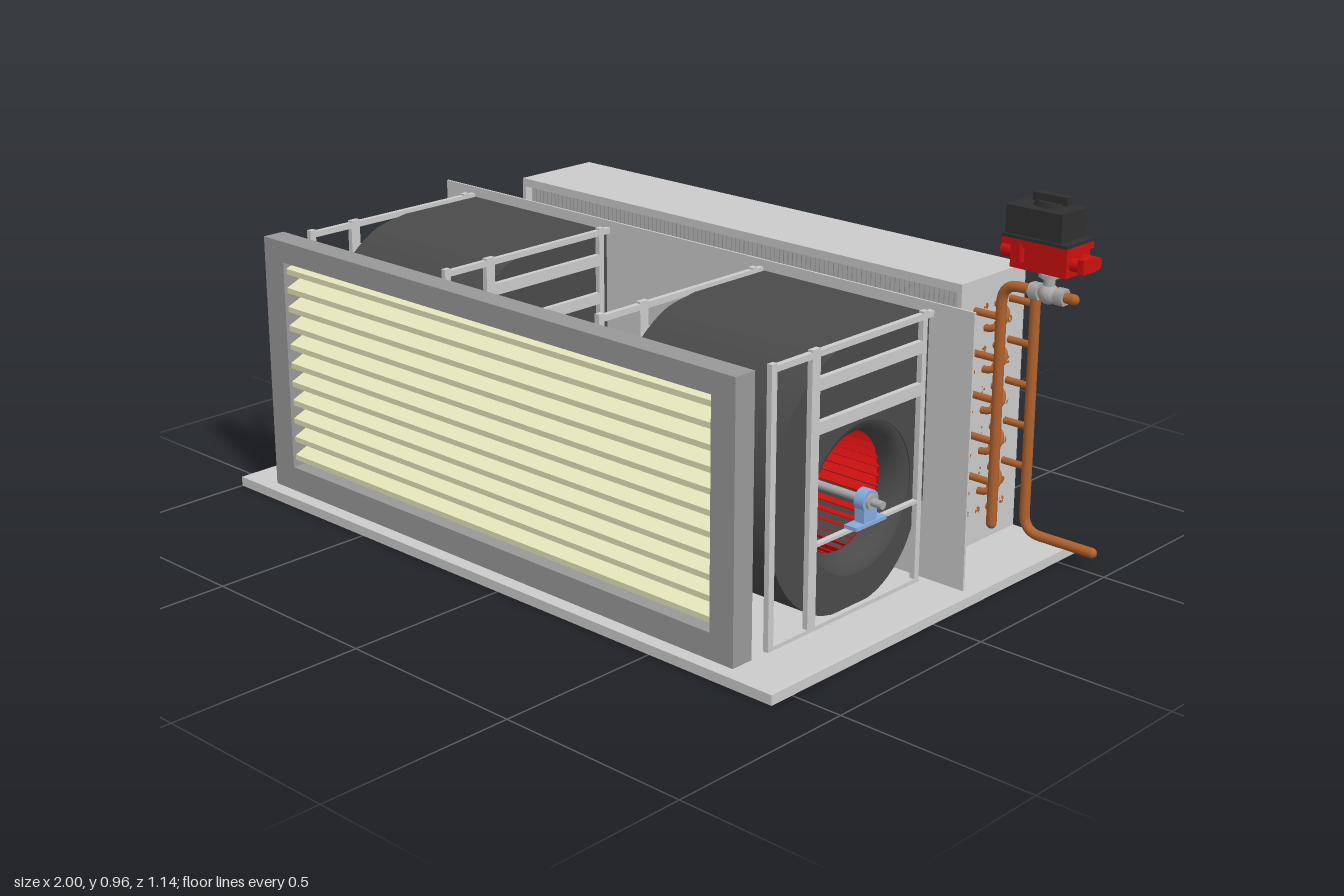
import * as THREE from 'three';
import { mergeGeometries } from 'three/addons/utils/BufferGeometryUtils.js';

const mat = (color, side = THREE.FrontSide) => new THREE.MeshStandardMaterial({ color, side });
const grey = mat(0xcccccc), frameGrey = mat(0x999999), dark = mat(0x4a4a4a, THREE.DoubleSide);
const black = mat(0x303030), red = mat(0xcc1010), copper = mat(0xb0622d), blue = mat(0x86ace0);
const cream = mat(0xe6e6bc, THREE.DoubleSide), steel = mat(0xaaaaaa);

const V = (x, y, z) => new THREE.Vector3(x, y, z);
const AXIS_Y = 0.295, AXIS_Z = 0.085;

function add(parent, name, geometry, material, x = 0, y = 0, z = 0) {
  const mesh = new THREE.Mesh(geometry, material);
  mesh.name = name;
  mesh.position.set(x, y, z);
  parent.add(mesh);
  return mesh;
}
// Box given by its extents on each axis
function boxGeo(x0, x1, y0, y1, z0, z1) {
  return new THREE.BoxGeometry(x1 - x0, y1 - y0, z1 - z0).translate((x0 + x1) / 2, (y0 + y1) / 2, (z0 + z1) / 2);
}
const box = (parent, name, material, ...e) => add(parent, name, boxGeo(...e), material);
// Cylinder lying along x
const xCyl = (r, len, x = 0, y = 0, z = 0, r2 = r, n = 32) =>
  new THREE.CylinderGeometry(r2, r, len, n).rotateZ(-Math.PI / 2).translate(x, y, z);
const rect = (C, x0, x1, y0, y1) => {
  const s = new C();
  s.moveTo(x0, y0).lineTo(x1, y0).lineTo(x1, y1).lineTo(x0, y1).closePath();
  return s;
};
const flat = (shape, depth) => new THREE.ExtrudeGeometry(shape, { depth, bevelEnabled: false, curveSegments: 32 });

// Pipe with one rounded elbow
function elbowPipe(a, corner, b, r) {
  const p = corner.clone().lerp(a, 0.05 / corner.distanceTo(a));
  const q = corner.clone().lerp(b, 0.05 / corner.distanceTo(b));
  const path = new THREE.CurvePath();
  path.add(new THREE.LineCurve3(a, p));
  path.add(new THREE.QuadraticBezierCurve3(p, corner, q));
  path.add(new THREE.LineCurve3(q, b));
  const caps = [[a, 1e-3], [b, 1e-3]].map(([c]) => new THREE.SphereGeometry(r, 12, 8).translate(c.x, c.y, c.z));
  return mergeGeometries([new THREE.TubeGeometry(path, 80, r, 14), ...caps]);
}

// Pleated filter in its frame
function makeFilter() {
  const g = new THREE.Group();
  g.name = 'filter';
  const frame = rect(THREE.Shape, -0.895, 0.72, 0.025, 0.7);
  frame.holes.push(rect(THREE.Path, -0.82, 0.65, 0.09, 0.645));
  add(g, 'filterFrame', flat(frame, 0.062), frameGrey, 0, 0, 0.469);
  const n = 11, pitch = 0.555 / n, pos = [], idx = [];
  for (let i = 0; i < n; i++) {
    for (const [f, z] of [[0, 0.478], [0.36, 0.522], [0.64, 0.522], [1, 0.478]]) {
      pos.push([0.09 + (i + f) * pitch, z]);
    }
  }
  // Flat facets between neighbouring pleat lines
  const verts = [];
  for (let i = 0; i + 1 < pos.length; i++) {
    const [y0, z0] = pos[i], [y1, z1] = pos[i + 1];
    if (y1 - y0 < 1e-6) continue;
    const k = verts.length / 3;
    verts.push(-0.82, y0, z0, 0.65, y0, z0, 0.65, y1, z1, -0.82, y1, z1);
    idx.push(k, k + 1, k + 2, k, k + 2, k + 3);
  }
  const geo = new THREE.BufferGeometry();
  geo.setAttribute('position', new THREE.Float32BufferAttribute(verts, 3));
  geo.setIndex(idx);
  geo.computeVertexNormals();
  add(g, 'filterPleats', geo, cream);
  return g;
}

// Double-inlet centrifugal fan, centred on x = 0
function makeFan() {
  const g = new THREE.Group();
  g.name = 'fan';
  const H = 0.25;
  // Scroll outline as (z, y), from the outlet top round to the cut-off
  const pts = [[0.1, 0.685], [0.2, 0.665], [0.29, 0.605], [0.36, 0.52], [0.4, 0.42], [0.405, 0.31], [0.375, 0.19], [0.31, 0.1],
    [0.22, 0.045], [0.11, 0.03], [0.01, 0.045], [-0.07, 0.1], [-0.115, 0.17], [-0.13, 0.22]];
  const curve = new THREE.CatmullRomCurve3(pts.map(([z, y]) => V(-z, y, 0)));
  const line = [V(0.165, 0.685, 0), ...curve.getPoints(56), V(0.165, 0.22, 0)].map(p => new THREE.Vector2(p.x, p.y));
  const side = new THREE.Shape(line);
  side.holes.push(new THREE.Path().absarc(-AXIS_Z, AXIS_Y, 0.185, 0, Math.PI * 2));
  for (const s of [-1, 1]) {
    add(g, 'scrollSide', flat(side, 0.006).rotateY(Math.PI / 2), dark, s * H - 0.003);
    // Inlet bell curving in towards the wheel
    const bell = [[0.185, H], [0.172, H - 0.004], [0.158, H - 0.018], [0.15, H - 0.04], [0.148, H - 0.06]];
    const lathe = new THREE.LatheGeometry(bell.map(([r, h]) => new THREE.Vector2(r, h * s)), 48);
    add(g, 'inletBell', lathe.rotateZ(-Math.PI / 2), dark, 0, AXIS_Y, AXIS_Z);
  }
  // Scroll wrapper
  const verts = [], idx = [];
  line.forEach((p, i) => {
    verts.push(-H, p.y, -p.x, H, p.y, -p.x);
    if (i) idx.push(2 * i - 2, 2 * i - 1, 2 * i, 2 * i - 1, 2 * i + 1, 2 * i);
  });
  const wrap = new THREE.BufferGeometry();
  wrap.setAttribute('position', new THREE.Float32BufferAttribute(verts, 3));
  wrap.setIndex(idx);
  wrap.computeVertexNormals();
  add(g, 'scrollWrapper', wrap, dark);

  // Wheel: blades, rings and centre disc
  const parts = [xCyl(0.172, 0.008)];
  for (let i = 0; i < 40; i++) {
    parts.push(new THREE.BoxGeometry(0.38, 0.03, 0.003).rotateX(0.6).translate(0, 0.163, 0).rotateX(i / 40 * Math.PI * 2));
  }
  for (const s of [-1, 1]) parts.push(new THREE.TorusGeometry(0.166, 0.012, 8, 48).rotateY(Math.PI / 2).translate(s * 0.185, 0, 0));
  add(g, 'wheel', mergeGeometries(parts.map(p => p.toNonIndexed())), red, 0, AXIS_Y, AXIS_Z);
  for (const s of [-1, 1]) {
    const hub = new THREE.CylinderGeometry(0.035, 0.07, 0.05, 32).rotateZ(-s * Math.PI / 2);
    add(g, 'wheelHub', hub, steel, s * 0.028, AXIS_Y, AXIS_Z);
  }

  // Side frames of flat bars with a bearing on each
  for (const s of [-1, 1]) {
    const x = [s * 0.254, s * 0.268].sort((a, b) => a - b);
    const bars = [[0.025, 0.7, 0.4, 0.418], [0.025, 0.7, 0.255, 0.283], [0.025, 0.7, -0.127, -0.11],
      [0.68, 0.695, -0.15, 0.418], [0.6, 0.63, -0.127, 0.27], [0.497, 0.527, -0.127, 0.27], [0.025, 0.035, -0.127, 0.418],
      [0.229, 0.237, -0.127, 0.283]];
    add(g, 'sideFrame', mergeGeometries(bars.map(b => boxGeo(...x, ...b))), grey);
    add(g, 'bearing', mergeGeometries([
      boxGeo(-0.018, 0.018, 0.237, 0.246, 0.03, 0.14), boxGeo(-0.014, 0.014, 0.24, 0.29, 0.062, 0.108),
      xCyl(0.028, 0.028, 0, AXIS_Y, AXIS_Z)]), blue, s * 0.27);
    add(g, 'bearingCollar', xCyl(0.019, 0.04, 0, AXIS_Y, AXIS_Z), steel, s * 0.27);
  }
  return g;
}

// Drive motor and the common shaft
function makeMotor() {
  const g = new THREE.Group();
  g.name = 'motor';
  const c = -0.055;
  add(g, 'motorBody', xCyl(0.18, 0.28, c, AXIS_Y, AXIS_Z, 0.18, 48), dark);
  for (const s of [-1, 1]) add(g, 'motorEndBell', xCyl(0.192, 0.03, c + s * 0.155, AXIS_Y, AXIS_Z, 0.192, 48), grey);
  box(g, 'terminalBox', grey, c - 0.06, c + 0.06, 0.46, 0.5, 0.037, 0.127);
  for (const s of [-1, 1]) box(g, 'motorFoot', grey, c - 0.13, c + 0.13, 0.025, 0.18, AXIS_Z + s * 0.1 - 0.015, AXIS_Z + s * 0.1 + 0.015);
  add(g, 'shaft', xCyl(0.01, 1.69, -0.07, AXIS_Y, AXIS_Z), steel);
  return g;
}

// Finned coil with copper tubes, return bends and headers
function makeCoil() {
  const g = new THREE.Group();
  g.name = 'coil';
  const x0 = -0.83, x1 = 0.68, z0 = -0.572, z1 = -0.313;
  add(g, 'coilCasing', mergeGeometries([
    boxGeo(x0, x1, 0.69, 0.712, z0, z1), boxGeo(x0, x1, 0.025, 0.045, z0, z1),
    boxGeo(x0, x0 + 0.012, 0.025, 0.712, z0, z1), boxGeo(x1 - 0.012, x1, 0.025, 0.712, z0, z1)]), grey);
  const fins = [];
  for (let i = 0; i < 100; i++) {
    const x = x0 + 0.02 + i * (1.47 / 99);
    fins.push(boxGeo(x - 0.001, x + 0.001, 0.045, 0.69, z0 + 0.018, z1 - 0.018));
  }
  add(g, 'coilFins', mergeGeometries(fins), frameGrey);

  const cols = [-0.37, -0.415, -0.457, -0.515], rowY = i => 0.11 + 0.0525 * i, tubes = [];
  for (let i = 0; i < 11; i++) for (const z of cols) tubes.push(xCyl(0.01, 1.51, -0.075, rowY(i), z, 0.01, 10));
  const bend = (x, out, ya, za, yb, zb) => {
    const path = new THREE.CubicBezierCurve3(V(x, ya, za), V(x + out, ya, za), V(x + out, yb, zb), V(x, yb, zb));
    tubes.push(new THREE.TubeGeometry(path, 14, 0.009, 10));
  };
  for (let k = 0; k < 5; k++) {
    const a = rowY(2 * k + 1), b = rowY(2 * k + 2);
    bend(x1, 0.055, a, cols[1], b, cols[2]);
    bend(x0, -0.055, a, cols[1], b, cols[2]);
    bend(x0, -0.055, a, cols[0], b, cols[0]);
    bend(x0, -0.055, a, cols[3], b, cols[3]);
    for (const z of [cols[0], cols[3]]) tubes.push(xCyl(0.009, 0.075, 0.717, b, z, 0.009, 10));
  }
  add(g, 'coilTubes', mergeGeometries(tubes), copper);
  add(g, 'supplyHeader', elbowPipe(V(0.755, 0.11, -0.37), V(0.755, 0.72, -0.37), V(0.955, 0.72, -0.37), 0.013), copper);
  add(g, 'returnHeader', elbowPipe(V(0.755, 0.66, -0.51), V(0.755, 0.047, -0.51), V(0.955, 0.047, -0.51), 0.013), copper);
  return g;
}

// Motorised ball valve on the supply pipe
function makeValve() {
  const g = new THREE.Group();
  g.name = 'controlValve';
  g.position.set(0.885, 0.72, -0.37);
  add(g, 'valveBody', new THREE.SphereGeometry(0.025, 24, 16), steel);
  for (const s of [-1, 1]) add(g, 'valveNut', xCyl(0.022, 0.025, s * 0.035, 0, 0, 0.022, 6), steel);
  add(g, 'valveStem', new THREE.CylinderGeometry(0.014, 0.014, 0.055, 16), steel, 0, 0.03);
  add(g, 'valveFlange', new THREE.CylinderGeometry(0.026, 0.026, 0.01, 6), steel, 0, 0.045);
  box(g, 'actuatorBase', red, -0.08, 0.075, 0.06, 0.125, -0.047, 0.047);
  box(g, 'actuatorRim', red, -0.1, 0.08, 0.115, 0.132, -0.054, 0.054);
  box(g, 'actuatorSeam', black, -0.1, 0.08, 0.132, 0.14, -0.056, 0.056);
  box(g, 'actuatorCover', black, -0.095, 0.06, 0.14, 0.208, -0.05, 0.05);
  add(g, 'cableGland', xCyl(0.018, 0.05, -0.095, 0.09, 0.015, 0.018, 12), red);
  for (const z of [-0.022, 0.022]) add(g, 'cableGland', xCyl(0.016, 0.045, 0.092, 0.09, z, 0.016, 12), red);
  box(g, 'sideBoss', red, 0.1, 0.117, 0.075, 0.11, -0.01, 0.04);
  for (const z of [-0.05, 0.05]) add(g, 'coverScrew', new THREE.CylinderGeometry(0.009, 0.009, 0.045, 12), red, -0.05, 0.1, z * 0.95);
  add(g, 'knobBase', new THREE.CylinderGeometry(0.028, 0.034, 0.014, 24).scale(1.4, 1, 0.8), black, -0.005, 0.214);
  box(g, 'knobGrip', black, -0.05, 0.045, 0.218, 0.238, -0.011, 0.011);
  return g;
}

export function createModel() {
  const model = new THREE.Group();
  model.name = 'fanCoilUnit';
  box(model, 'basePlate', grey, -1, 0.865, 0, 0.025, -0.572, 0.568);

  // Partition with an opening for each fan outlet
  const fanX = [-0.595, 0.455];
  const wall = rect(THREE.Shape, -0.965, 0.835, 0.025, 0.712);
  for (const x of fanX) wall.holes.push(rect(THREE.Path, x - 0.24, x + 0.24, 0.22, 0.685));
  add(model, 'partition', flat(wall, 0.006), grey, 0, 0, -0.158);

  for (const x of fanX) {
    const fan = makeFan();
    fan.position.x = x;
    model.add(fan);
  }
  model.add(makeFilter(), makeMotor(), makeCoil(), makeValve());
  return model;
}
